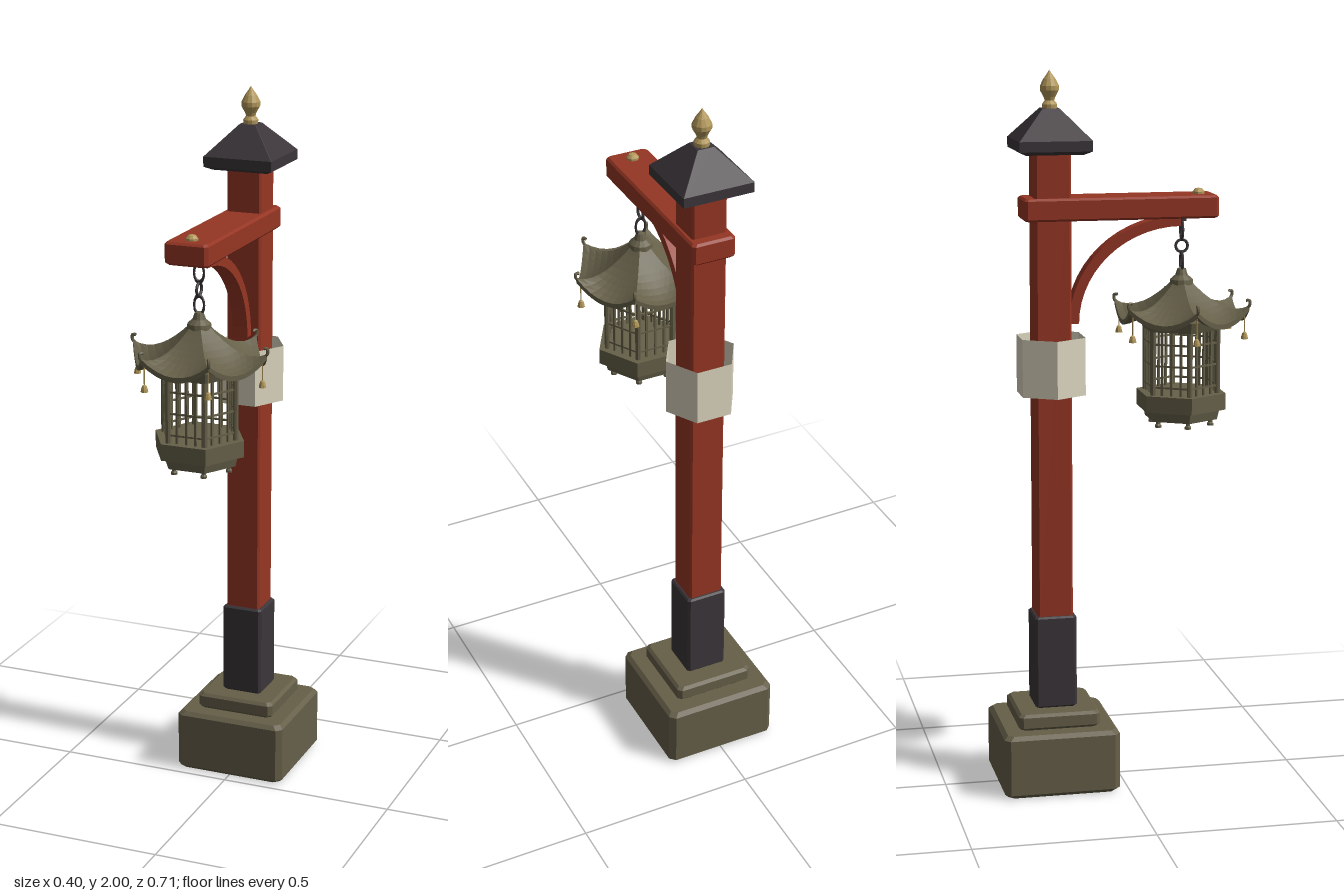
import * as THREE from 'three';

const mat = (name, color, both = false) => {
  const m = new THREE.MeshStandardMaterial({ color, flatShading: true, side: both ? THREE.DoubleSide : THREE.FrontSide });
  m.name = name;
  return m;
};

const POST_Z = -0.19, LAMP_Z = 0.178;

export function createModel() {
  const red = mat('red lacquer', 0x963624);
  const iron = mat('dark iron', 0x3b3539);
  const stone = mat('stone', 0x665f49, true);
  const bronze = mat('aged bronze', 0x666049, true);
  const gold = mat('gold', 0xb3985a);
  const paper = mat('paper', 0xddd5bf, true);

  const root = new THREE.Group();
  root.name = 'lanternPost';
  const add = (parent, name, geo, material, x = 0, y = 0, z = 0) => {
    const m = new THREE.Mesh(geo, material);
    m.name = name;
    m.position.set(x, y, z);
    parent.add(m);
    return m;
  };

  // Stacked rectangles [halfX, halfZ, y] with cut corners, closed at the ends as asked
  const stack = (sections, cut, capBottom = true) => {
    const pos = [], idx = [];
    for (const [w, d, y] of sections) {
      const c = Math.min(cut, w * 0.5);
      for (const [x, z] of [[w, d - c], [w - c, d], [c - w, d], [-w, d - c], [-w, c - d], [c - w, -d], [w - c, -d], [w, c - d]]) pos.push(x, y, z);
    }
    const top = (sections.length - 1) * 8;
    for (let k = 0; k < top; k += 8) {
      for (let i = 0; i < 8; i++) {
        const j = (i + 1) % 8;
        idx.push(k + i, k + 8 + i, k + j, k + j, k + 8 + i, k + 8 + j);
      }
    }
    for (let i = 1; i < 7; i++) {
      idx.push(top, top + i + 1, top + i);
      if (capBottom) idx.push(0, i, i + 1);
    }
    const g = new THREE.BufferGeometry();
    g.setAttribute('position', new THREE.Float32BufferAttribute(pos, 3));
    g.setIndex(idx);
    const flat = g.toNonIndexed();
    flat.computeVertexNormals();
    return flat;
  };
  const block = (w, d, y0, y1, b, capBottom = true) =>
    stack([[w - b, d - b, y0], [w, d, y0 + b], [w, d, y1 - b], [w - b, d - b, y1]], b * 1.4, capBottom);

  // Post, base and cap
  const post = new THREE.Group();
  post.name = 'post';
  post.position.z = POST_Z;
  root.add(post);
  add(post, 'hollowBase', block(0.163, 0.163, 0, 0.18, 0.011, false), stone);
  add(post, 'plinth', block(0.115, 0.115, 0.18, 0.226, 0.008), stone);
  add(post, 'postShoe', block(0.059, 0.059, 0.226, 0.49, 0.005), iron);
  add(post, 'postShaft', block(0.05, 0.05, 0.48, 1.79, 0.004), red);
  add(post, 'postCap', stack([[0.08, 0.08, 1.777], [0.1, 0.1, 1.787], [0.1, 0.1, 1.815], [0.024, 0.024, 1.897]], 0.001), iron);
  const lathe = (pts, n) => new THREE.LatheGeometry(pts.map(([r, y]) => new THREE.Vector2(r, y)), n);
  add(post, 'finial', lathe([[0, 1.89], [0.02, 1.89], [0.021, 1.908], [0.013, 1.918], [0.016, 1.927],
    [0.026, 1.945], [0.026, 1.957], [0.017, 1.975], [0.006, 1.99], [0, 2]], 12), gold);
  add(post, 'paperBand', new THREE.CylinderGeometry(0.101, 0.101, 0.16, 6, 1, true, Math.PI / 6), paper, 0, 1.195);

  // Arm with its bolt and curved brace
  add(root, 'arm', block(0.062, 0.27, 1.596, 1.658, 0.006), red);
  add(root, 'armBolt', lathe([[0.017, 0], [0.017, 0.008], [0.01, 0.016], [0, 0.018]], 10), gold, 0, 1.656, 0.225);
  const brace = new THREE.Shape();
  const arc = (rz, ry, f) => {
    for (let i = 0; i <= 14; i++) {
      const a = (f ? i : 14 - i) / 14 * Math.PI / 2;
      const p = [-0.17 + rz * Math.cos(a), 1.31 + ry * Math.sin(a)];
      f && i === 0 ? brace.moveTo(...p) : brace.lineTo(...p);
    }
  };
  arc(0.312, 0.29, true);
  arc(0.285, 0.262, false);
  const braceGeo = new THREE.ExtrudeGeometry(brace, { depth: 0.044, bevelEnabled: false });
  braceGeo.translate(0, 0, -0.022).rotateY(Math.PI / 2);
  add(root, 'curvedBrace', braceGeo, red);

  // Hanging lantern
  const lamp = new THREE.Group();
  lamp.name = 'lantern';
  lamp.position.z = LAMP_Z;
  root.add(lamp);

  // Chain links, alternately turned
  [1.56, 1.515, 1.472].forEach((y, i) => {
    const link = add(lamp, 'chainLink', new THREE.TorusGeometry(0.017, 0.004, 6, 14), iron, 0, y);
    if (i === 1) link.rotation.y = Math.PI / 2;
    else link.scale.set(0.85, 1.5, 1);
  });
  add(lamp, 'hookPlate', new THREE.CylinderGeometry(0.014, 0.014, 0.012, 10), iron, 0, 1.59);
  add(lamp, 'roofCrown', lathe([[0.034, 1.408], [0.032, 1.422], [0.018, 1.434], [0.012, 1.452], [0, 1.456]], 12), bronze);

  // Concave six-sided roof with lifted corners; upper skin, lower skin and rim
  const T = 8, S = 8;
  const roofPoint = (side, s, t, drop) => {
    const r = 0.025 + 0.17 * t, a = side * Math.PI / 3, b = a + Math.PI / 3, c = Math.abs(2 * s - 1);
    const y = 1.42 - 0.105 * (1 - (1 - t) ** 1.6) + 0.042 * t ** 2.5 * c * c - drop;
    return [r * (Math.cos(a) * (1 - s) + Math.cos(b) * s), y, r * (Math.sin(a) * (1 - s) + Math.sin(b) * s)];
  };
  const roofPos = [];
  const quad = (a, b, c, d) => roofPos.push(...a, ...b, ...c, ...a, ...c, ...d);
  for (let k = 0; k < 6; k++) {
    for (let i = 0; i < S; i++) {
      const s0 = i / S, s1 = (i + 1) / S;
      for (let j = 0; j < T; j++) {
        const t0 = j / T, t1 = (j + 1) / T;
        quad(roofPoint(k, s0, t0, 0), roofPoint(k, s1, t0, 0), roofPoint(k, s1, t1, 0), roofPoint(k, s0, t1, 0));
        quad(roofPoint(k, s0, t0, 0.014), roofPoint(k, s0, t1, 0.014), roofPoint(k, s1, t1, 0.014), roofPoint(k, s1, t0, 0.014));
      }
      quad(roofPoint(k, s0, 1, 0), roofPoint(k, s1, 1, 0), roofPoint(k, s1, 1, 0.014), roofPoint(k, s0, 1, 0.014));
    }
  }
  const roofGeo = new THREE.BufferGeometry();
  roofGeo.setAttribute('position', new THREE.Float32BufferAttribute(roofPos, 3));
  roofGeo.computeVertexNormals();
  add(lamp, 'curvedRoof', roofGeo, bronze);

  // Six-sided plates and bands
  const hex = (name, rTop, rBottom, y0, y1) =>
    add(lamp, name, new THREE.CylinderGeometry(rTop, rBottom, y1 - y0, 6, 1, false, Math.PI / 6), bronze, 0, (y0 + y1) / 2);
  hex('cageTopBand', 0.125, 0.113, 1.285, 1.315);
  hex('tray', 0.13, 0.13, 1.062, 1.108);
  hex('bottomPlate', 0.112, 0.105, 1.033, 1.062);

  // Parts repeated on each corner and side
  const hookCurve = new THREE.CatmullRomCurve3([[0.165, 1.338], [0.183, 1.346], [0.196, 1.358], [0.195, 1.372], [0.186, 1.371]]
    .map(([x, y]) => new THREE.Vector3(x, y, 0)));
  const hookGeo = new THREE.TubeGeometry(hookCurve, 12, 0.0045, 6);
  const postGeo = new THREE.CylinderGeometry(0.008, 0.008, 0.19, 8);
  const footGeo = lathe([[0, 0], [0.009, 0], [0.009, 0.006], [0.006, 0.01], [0.006, 0.03]], 8);
  const bellGeo = lathe([[0, 0], [0.0105, 0], [0.009, 0.008], [0.006, 0.017], [0, 0.021]], 8);
  const wireGeo = new THREE.CylinderGeometry(0.0018, 0.0018, 0.06, 5);
  const barGeo = new THREE.BoxGeometry(0.006, 0.19, 0.006);
  const railGeo = new THREE.BoxGeometry(0.005, 0.005, 0.105);
  for (let k = 0; k < 6; k++) {
    const corner = new THREE.Group();
    corner.name = 'lanternCorner';
    corner.rotation.y = k * Math.PI / 3;
    lamp.add(corner);
    add(corner, 'roofTipCurl', hookGeo, bronze);
    add(corner, 'cagePost', postGeo, bronze, 0.105, 1.195);
    add(corner, 'foot', footGeo, bronze, 0.086, 1.015);
    add(corner, 'bellWire', wireGeo, gold, 0.182, 1.31);
    add(corner, 'bell', bellGeo, gold, 0.182, 1.264);

    const side = new THREE.Group();
    side.name = 'latticeSide';
    side.rotation.y = (k + 0.5) * Math.PI / 3;
    lamp.add(side);
    for (const z of [-0.027, 0, 0.027]) add(side, 'latticeBar', barGeo, bronze, 0.091, 1.195, z);
    for (const y of [1.13, 1.19, 1.25]) add(side, 'latticeRail', railGeo, bronze, 0.091, y);
  }
  return root;
}
